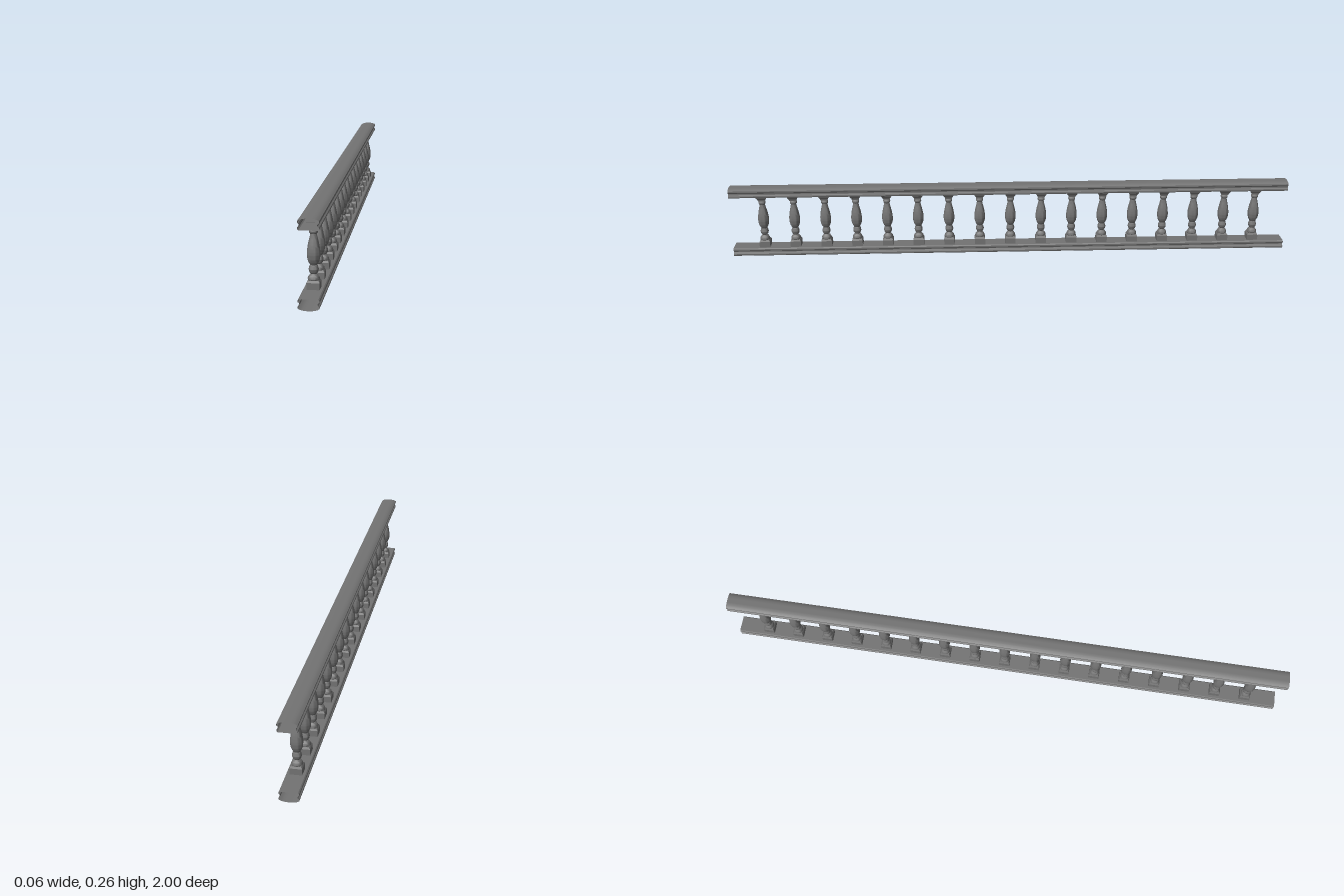
import * as THREE from 'three';
import { toCreasedNormals } from 'three/addons/utils/BufferGeometryUtils.js';

const COUNT = 17, SPACING = 0.111, HEIGHT = 0.26, HALF_LENGTH = 1;

const vec = ([x, y]) => new THREE.Vector2(x, y);

// Round turned piece from a profile of [radius, y]
function turned(points) {
  const curve = new THREE.SplineCurve(points.map(vec));
  return toCreasedNormals(new THREE.LatheGeometry(curve.getPoints(points.length * 3), 20), 0.7);
}

// Square moulded block from a profile of [half width, y]
function squareBlock(points) {
  const profile = points.map(([w, y]) => new THREE.Vector2(w * Math.SQRT2, y));
  return toCreasedNormals(new THREE.LatheGeometry(profile, 4, Math.PI / 4), 0.3);
}

// Open-ended rail swept along z from a counter-clockwise cross-section
function railGeometry(section) {
  const pos = [];
  section.forEach(([ax, ay], i) => {
    const [bx, by] = section[(i + 1) % section.length];
    const L = HALF_LENGTH;
    pos.push(ax, ay, L, ax, ay, -L, bx, by, -L, ax, ay, L, bx, by, -L, bx, by, L);
  });
  const g = new THREE.BufferGeometry();
  g.setAttribute('position', new THREE.Float32BufferAttribute(pos, 3));
  g.computeVertexNormals();
  return toCreasedNormals(g, 0.4);
}

export function createModel() {
  const stone = new THREE.MeshStandardMaterial({ color: 0x737373, side: THREE.DoubleSide });
  stone.name = 'grey stone';
  const group = new THREE.Group();
  group.name = 'balustrade';

  const add = (parent, geometry, name) => {
    const mesh = new THREE.Mesh(geometry, stone);
    mesh.name = name;
    parent.add(mesh);
    return mesh;
  };

  // Rails: two lips with a groove between and a shallow dome, mirrored top to bottom
  const half = [
    [0.027, 0.227], [0.03, 0.23], [0.03, 0.235], [0.026, 0.238], [0.025, 0.242],
    [0.027, 0.246], [0.03, 0.248], [0.03, 0.253], [0.026, 0.256], [0.018, 0.2585], [0.008, 0.26],
  ];
  const topSection = [...half, ...half.map(([x, y]) => [-x, y]).reverse()];
  const bottomSection = topSection.map(([x, y]) => [x, HEIGHT - y]).reverse();
  add(group, railGeometry(topSection), 'topRail');
  add(group, railGeometry(bottomSection), 'bottomRail');

  // Baluster parts, shared by every baluster
  const parts = {
    plinth: squareBlock([
      [0, 0.033], [0.019, 0.033], [0.019, 0.053], [0.0155, 0.059], [0, 0.059],
    ]),
    lowerBead: turned([
      [0.014, 0.056], [0.0172, 0.061], [0.0168, 0.066], [0.013, 0.072], [0.009, 0.077],
    ]),
    middleBead: turned([
      [0.009, 0.077], [0.0125, 0.082], [0.0145, 0.09], [0.0125, 0.098], [0.0105, 0.103],
    ]),
    vase: turned([
      [0.0105, 0.103], [0.0165, 0.115], [0.0193, 0.13], [0.0188, 0.145],
      [0.016, 0.163], [0.012, 0.18], [0.0092, 0.193],
    ]),
    neckRing: turned([
      [0.0092, 0.193], [0.012, 0.196], [0.0127, 0.2], [0.012, 0.204], [0.009, 0.207],
    ]),
    neck: turned([[0.009, 0.206], [0.009, 0.209], [0.0105, 0.212]]),
    capital: squareBlock([
      [0, 0.208], [0.012, 0.208], [0.0135, 0.214], [0.0185, 0.222], [0.019, 0.228], [0, 0.228],
    ]),
  };

  // Row of balusters
  for (let i = 0; i < COUNT; i++) {
    const baluster = new THREE.Group();
    baluster.name = 'baluster';
    baluster.position.z = (i - (COUNT - 1) / 2) * SPACING;
    for (const [name, geometry] of Object.entries(parts)) add(baluster, geometry, name);
    group.add(baluster);
  }
  return group;
}
